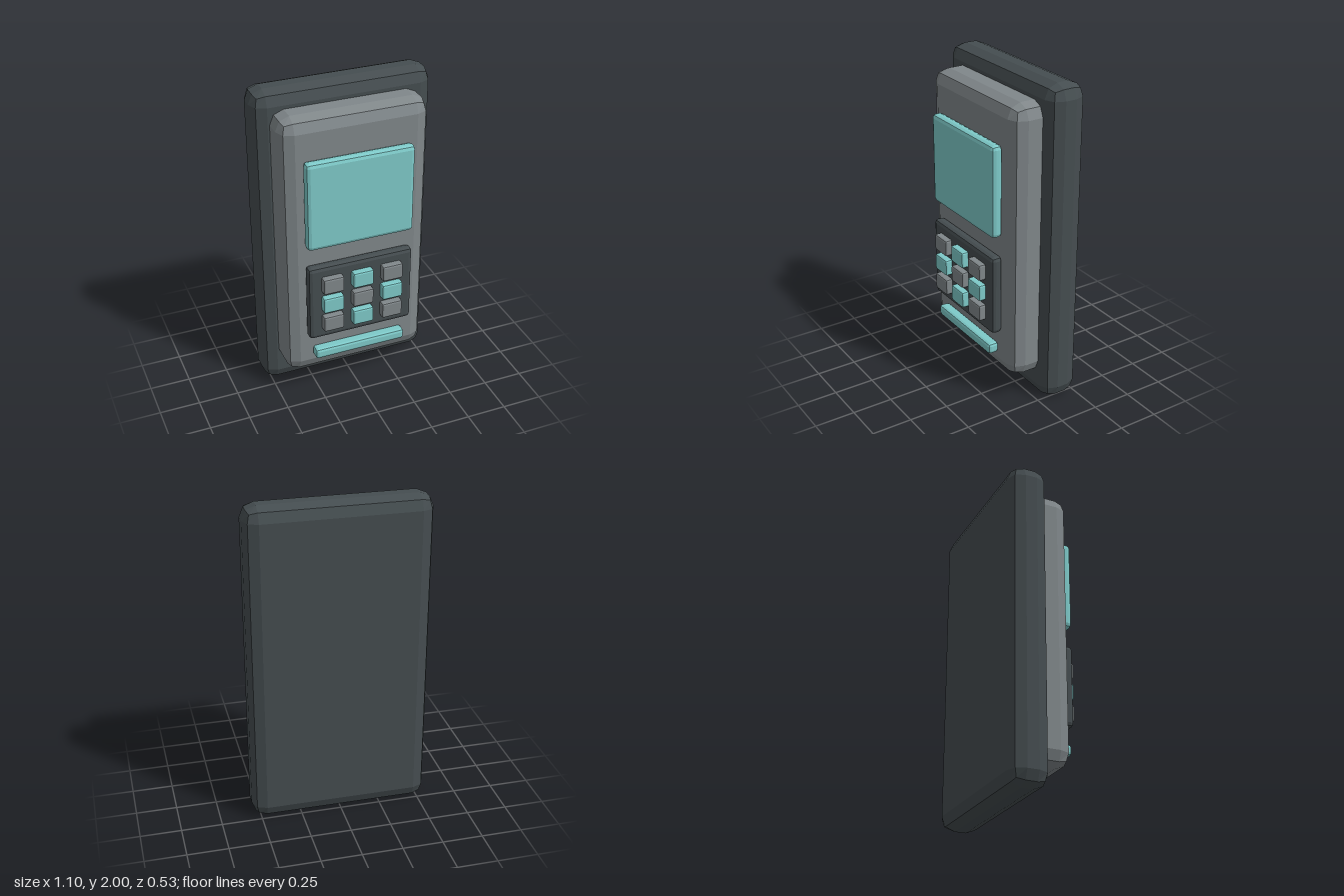
import * as THREE from 'three';
import { RoundedBoxGeometry } from 'three/addons/geometries/RoundedBoxGeometry.js';

export function createModel() {
  const model = new THREE.Group();
  model.name = 'handheldDevice';

  const material = (name, color) => {
    const m = new THREE.MeshStandardMaterial({ color, flatShading: true });
    m.name = name;
    return m;
  };
  const dark = material('dark slate', 0x454d50);
  const grey = material('mid grey', 0x80878a);
  const teal = material('pale teal', 0x7ecac9);

  // Bevelled block given by its extents: centre x, width, y range, z range
  const block = (name, mat, x, width, [y0, y1], [z0, z1], radius, parent = model) => {
    const mesh = new THREE.Mesh(new RoundedBoxGeometry(width, y1 - y0, z1 - z0, 1, radius), mat);
    mesh.name = name;
    mesh.position.set(x, (y0 + y1) / 2, (z0 + z1) / 2);
    parent.add(mesh);
    return mesh;
  };

  // Case
  block('backShell', dark, 0, 1.104, [0, 2], [-0.265, -0.025], 0.084);
  block('frontBody', grey, 0, 0.914, [0.167, 1.895], [-0.15, 0.152], 0.084);

  // Front fittings
  block('screen', teal, 0, 0.67, [1.085, 1.65], [0.152, 0.222], 0.025);
  block('keypadPlate', dark, 0, 0.67, [0.453, 0.96], [0.152, 0.222], 0.025);
  block('lowerBar', teal, 0, 0.59, [0.294, 0.362], [0.152, 0.222], 0.018);

  // Three by three keys in alternating colours
  const keys = new THREE.Group();
  keys.name = 'keys';
  model.add(keys);
  for (let row = 0; row < 3; row++) {
    for (let col = 0; col < 3; col++) {
      const y = 0.843 - row * 0.135;
      const mat = (row + col) % 2 ? teal : grey;
      block(`key${row + 1}${col + 1}`, mat, (col - 1) * 0.19, 0.132, [y - 0.052, y + 0.052], [0.2, 0.265], 0.012, keys);
    }
  }
  return model;
}
